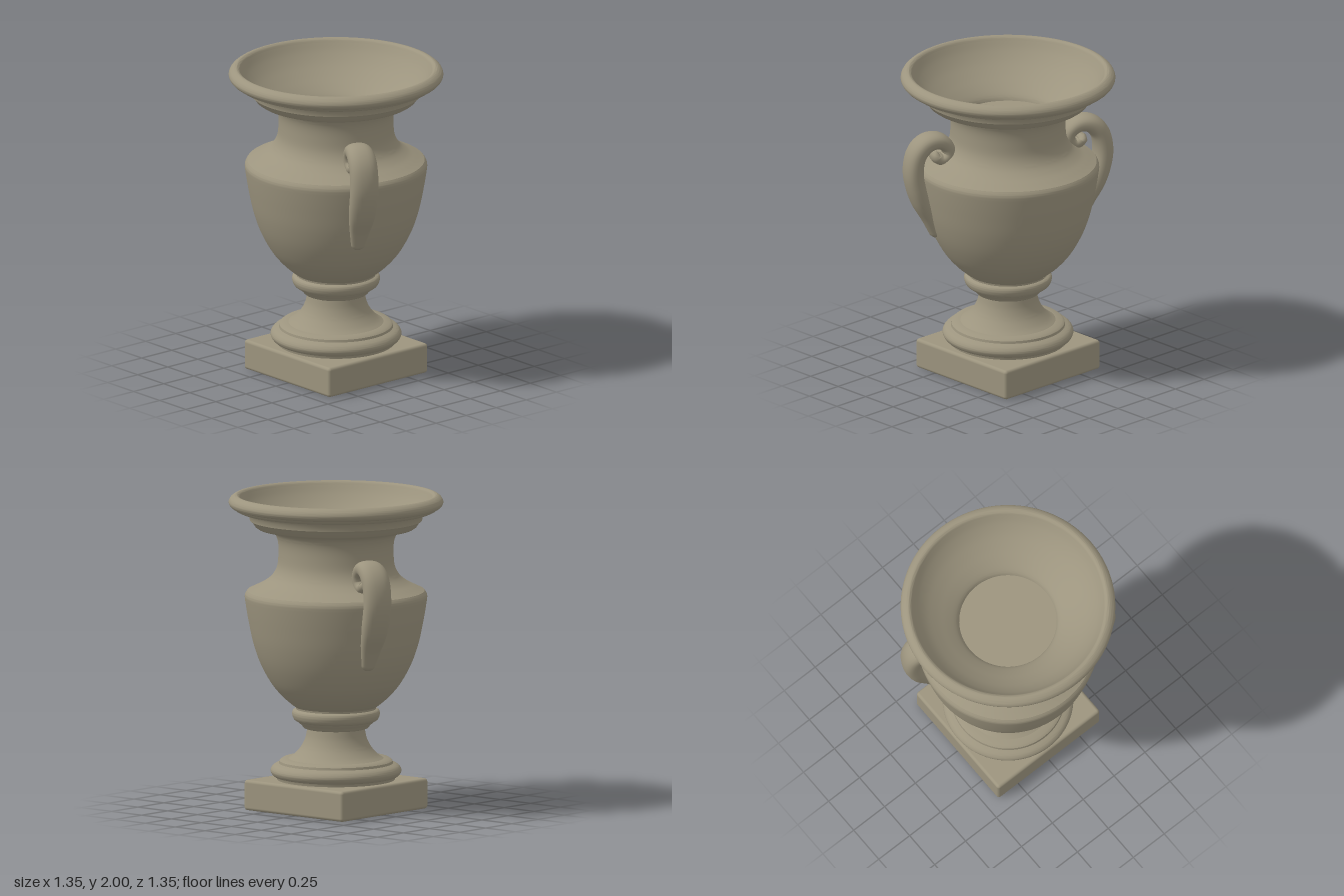
import * as THREE from 'three';
import { toCreasedNormals } from 'three/addons/utils/BufferGeometryUtils.js';
import { RoundedBoxGeometry } from 'three/addons/geometries/RoundedBoxGeometry.js';

const stone = new THREE.MeshStandardMaterial({ color: 0x9c947e, side: THREE.DoubleSide });
stone.name = 'weathered stone';

const vec = ([x, y]) => new THREE.Vector2(x, y);

// Turned part from [radius, y] points, upwards on the outside
function turned(name, pts, samples) {
  const points = samples ? new THREE.SplineCurve(pts.map(vec)).getPoints(samples) : pts.map(vec);
  const geometry = toCreasedNormals(new THREE.LatheGeometry(points, 96), 0.7);
  const mesh = new THREE.Mesh(geometry, stone);
  mesh.name = name;
  return mesh;
}

// Scrolled handle: a rounded, flattened section swept along a planar curve
function handleGeometry() {
  const path = new THREE.SplineCurve([
    [0.475, 0.94], [0.53, 1.08], [0.59, 1.21], [0.63, 1.37], [0.615, 1.5], [0.555, 1.575],
    [0.475, 1.59], [0.412, 1.55], [0.4, 1.495], [0.44, 1.462], [0.485, 1.485], [0.475, 1.52],
  ].map(vec));
  const steps = 90, sides = 24, pos = [], idx = [];
  const soften = (v) => Math.sign(v) * Math.abs(v) ** 0.85;
  for (let i = 0; i <= steps; i++) {
    const t = i / steps;
    const p = path.getPointAt(t), d = path.getTangentAt(t);
    const grow = THREE.MathUtils.smoothstep(t, -0.15, 0.36);
    const curl = 1 - 0.4 * THREE.MathUtils.smoothstep(t, 0.6, 0.95);
    const end = Math.sqrt(Math.min(1, t / 0.03, (1 - t) / 0.03));
    const thick = 0.06 * (0.4 + 0.6 * grow) * curl * end;
    const wide = 0.09 * (0.3 + 0.7 * grow) * (0.2 + 0.8 * curl) * end;
    for (let j = 0; j < sides; j++) {
      const a = (j / sides) * Math.PI * 2;
      const n = soften(Math.cos(a)) * thick;
      pos.push(p.x + d.y * n, p.y - d.x * n, soften(Math.sin(a)) * wide);
      if (i < steps) {
        const k = i * sides + j, m = i * sides + ((j + 1) % sides);
        idx.push(k, k + sides, m, m, k + sides, m + sides);
      }
    }
  }
  const g = new THREE.BufferGeometry();
  g.setAttribute('position', new THREE.Float32BufferAttribute(pos, 3));
  g.setIndex(idx);
  g.computeVertexNormals();
  return g;
}

export function createModel() {
  const urn = new THREE.Group();
  urn.name = 'urn';

  // Square plinth
  const plinth = new THREE.Mesh(new RoundedBoxGeometry(0.825, 0.193, 0.825, 3, 0.02), stone);
  plinth.name = 'plinth';
  plinth.position.y = 0.0965;
  urn.add(plinth);

  // Foot moulding and waisted stem
  urn.add(turned('footCollar', [[0.37, 0.18], [0.37, 0.205], [0.38, 0.22]]));
  urn.add(turned('footRing', [[0.36, 0.208], [0.395, 0.218], [0.412, 0.25], [0.395, 0.28], [0.36, 0.297]], 24));
  urn.add(turned('footStep', [[0.36, 0.29], [0.356, 0.312], [0.34, 0.324], [0.28, 0.328]]));
  urn.add(turned('stem', [[0.31, 0.32], [0.265, 0.35], [0.22, 0.4], [0.192, 0.46], [0.18, 0.525]], 24));
  urn.add(turned('stemCollar', [[0.175, 0.515], [0.2, 0.52], [0.218, 0.54], [0.232, 0.552], [0.248, 0.57]], 16));
  urn.add(turned('stemRing', [[0.235, 0.56], [0.262, 0.573], [0.276, 0.605], [0.27, 0.632], [0.24, 0.645]], 20));
  urn.add(turned('bowlCollar', [[0.25, 0.63], [0.254, 0.655], [0.28, 0.67]]));

  // Bowl, shoulder and neck
  urn.add(turned('bowl', [[0.25, 0.65], [0.29, 0.68], [0.345, 0.73], [0.41, 0.81], [0.475, 0.93], [0.52, 1.06],
    [0.55, 1.2], [0.57, 1.32], [0.573, 1.365], [0.558, 1.392]], 48));
  urn.add(turned('shoulderAndNeck', [[0.558, 1.392], [0.51, 1.415], [0.45, 1.447], [0.4, 1.49], [0.37, 1.55],
    [0.362, 1.63], [0.365, 1.7], [0.382, 1.75], [0.41, 1.775], [0.46, 1.787]], 48));

  // Stepped rim, lip and flared basin
  urn.add(turned('rimMoulding', [[0.45, 1.786], [0.492, 1.789], [0.508, 1.8], [0.525, 1.825], [0.542, 1.84],
    [0.546, 1.87], [0.56, 1.888], [0.608, 1.895], [0.63, 1.905], [0.642, 1.925]]));
  urn.add(turned('lip', [[0.63, 1.915], [0.66, 1.925], [0.675, 1.95], [0.668, 1.975], [0.648, 1.993],
    [0.628, 2.0], [0.611, 1.992], [0.6, 1.975]], 32));
  urn.add(turned('basin', [[0.602, 1.978], [0.568, 1.925], [0.515, 1.865], [0.45, 1.81], [0.385, 1.762],
    [0.338, 1.725], [0.315, 1.7], [0.305, 1.675]], 30));
  urn.add(turned('basinFloor', [[0.308, 1.68], [0, 1.68]]));

  // Two scrolled handles on opposite sides
  const scroll = handleGeometry();
  const turn = THREE.MathUtils.degToRad(-24.5);
  for (const [name, angle] of [['leftHandle', turn], ['rightHandle', turn + Math.PI]]) {
    const handle = new THREE.Mesh(scroll, stone);
    handle.name = name;
    handle.rotation.y = angle;
    urn.add(handle);
  }
  return urn;
}
